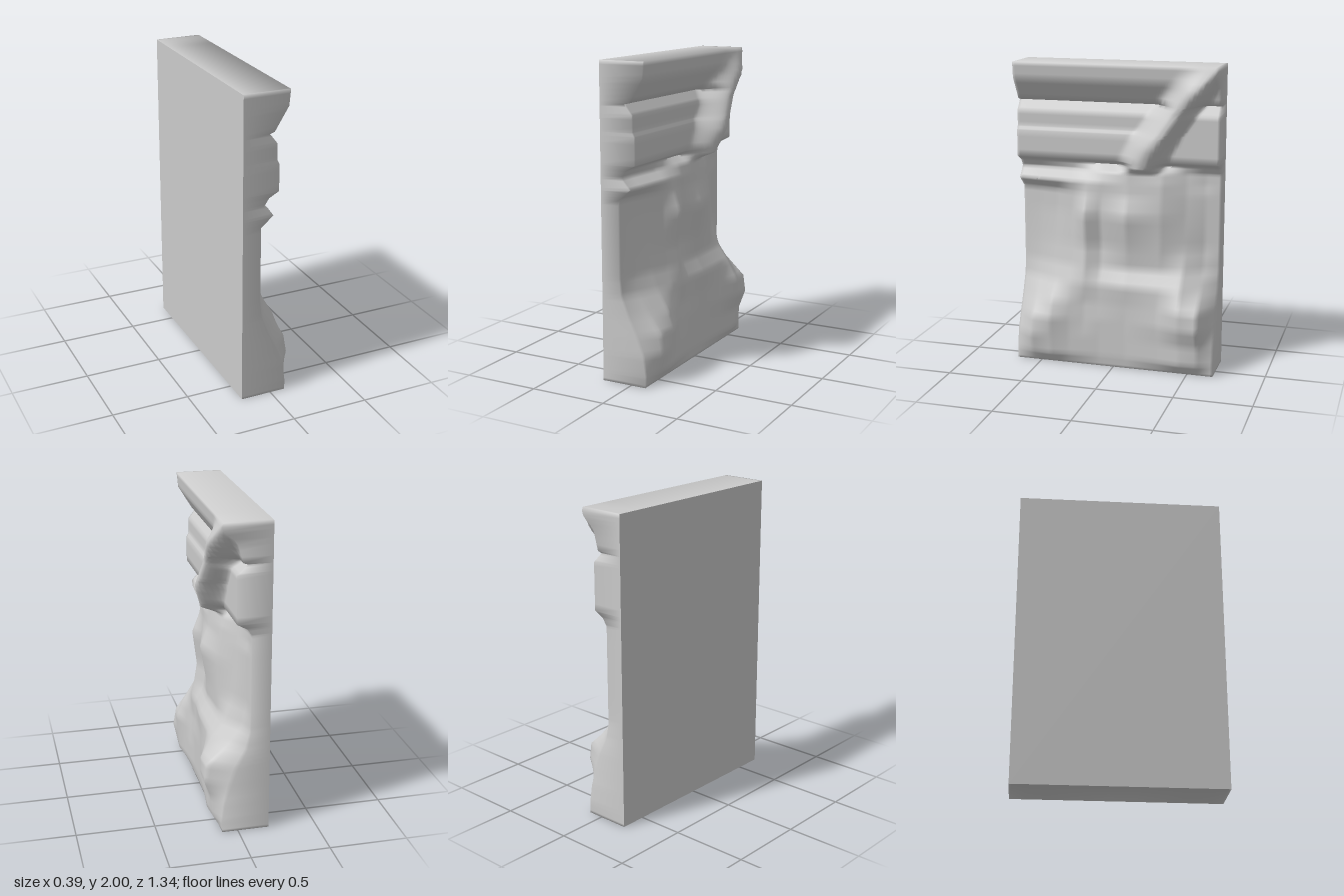
import * as THREE from 'three';
import { toCreasedNormals } from 'three/addons/utils/BufferGeometryUtils.js';

const BACK = -0.2, HALF = 0.67;
const { lerp, smoothstep } = THREE.MathUtils;

// Piecewise-linear lookup; keys run downward
function sample(keys, values, t) {
  if (t >= keys[0]) return values[0];
  for (let i = 1; i < keys.length; i++) {
    if (t >= keys[i]) return lerp(values[i - 1], values[i], (t - keys[i - 1]) / (keys[i] - keys[i - 1]));
  }
  return values[values.length - 1];
}

// Cornice heights, depth of the mouldings, and depth beyond the broken edge
const corniceY = [2, 1.9, 1.755, 1.745, 1.68, 1.58, 1.55, 1.38, 1.345];
const mouldingX = [0.1, 0.09, 0, -0.03, 0.02, 0.02, 0.035, 0.035, -0.03];
const recessX = [0.1, 0.02, -0.02, -0.05, 0.015, 0.015, 0.015, 0.015, -0.05];
const corniceBase = 1.345;

// Diagonal broken ridge that ends the mouldings
const ridgeY = [2, 1.85, 1.7, 1.5, 1.345];
const ridgeZ = [-0.65, -0.54, -0.42, -0.28, -0.2];
const ridgeX = [0.1, 0.165, 0.155, 0.18, 0.13];

// Rough stone below the cornice: depth at each column of z, row by row
const stoneZ = [0.67, 0.55, 0.42, 0.3, 0.2, 0.1, -0.08, -0.3, -0.45, -0.57, -0.67];
const stoneY = [1.3, 1.23, 1.16, 1.03, 0.8, 0.67, 0.56, 0.43, 0.32, 0.2, 0.07, 0];
const stoneX = [
  [-0.06, -0.06, -0.05, -0.04, -0.01, 0.02, 0.04, 0, -0.06, -0.08, -0.08],
  [0, 0.02, 0.03, 0.04, 0.04, 0.05, 0.05, 0.02, -0.05, -0.08, -0.08],
  [-0.08, -0.06, -0.03, 0.02, 0.05, 0.05, 0.06, 0.03, -0.04, -0.07, -0.08],
  [-0.08, -0.06, -0.03, 0.02, 0.1, 0.06, 0.11, 0.05, -0.03, -0.07, -0.08],
  [-0.08, -0.05, -0.01, 0.03, 0.07, 0.03, 0.07, 0.05, -0.01, -0.07, -0.08],
  [-0.08, -0.04, 0.01, 0.05, 0.09, 0.05, 0.06, 0.05, 0.04, -0.04, -0.08],
  [-0.07, -0.01, 0.05, 0.09, 0.11, 0.1, 0.12, 0.12, 0.12, 0.04, -0.06],
  [-0.02, 0.07, 0.13, 0.12, 0.1, 0.1, 0.11, 0.13, 0.19, 0.18, 0],
  [0.03, 0.15, 0.17, 0.13, 0.11, 0.11, 0.11, 0.14, 0.19, 0.195, 0.04],
  [0.08, 0.17, 0.16, 0.13, 0.12, 0.11, 0.11, 0.13, 0.15, 0.15, 0.08],
  [0.1, 0.14, 0.15, 0.13, 0.12, 0.11, 0.11, 0.13, 0.15, 0.14, 0.1],
  stoneZ.map(() => 0.1),
];

function corniceDepth(y, z) {
  const d = z - sample(ridgeY, ridgeZ, y);
  const peak = sample(ridgeY, ridgeX, y);
  return d > 0
    ? lerp(peak, sample(corniceY, mouldingX, y), smoothstep(d, 0.02, 0.22))
    : lerp(peak, sample(corniceY, recessX, y), smoothstep(-d, 0.01, 0.12));
}

function depth(y, z) {
  if (y >= corniceBase) return corniceDepth(y, z);
  const column = stoneX.map((row) => sample(stoneZ, row, z));
  return sample([corniceBase, ...stoneY], [corniceDepth(corniceBase, z), ...column], y);
}

function createSlab() {
  const columns = 80, steps = 4;

  // Heights rise through every moulding line and stone row
  const keys = [...corniceY, ...stoneY].reverse();
  const heights = [];
  for (let i = 0; i < keys.length - 1; i++) {
    for (let s = 0; s < steps; s++) heights.push(lerp(keys[i], keys[i + 1], s / steps));
  }
  heights.push(2);

  // Cross-sections from the front end to the rear end
  const sections = [];
  for (let j = 0; j <= columns; j++) {
    const z = HALF - (2 * HALF * j) / columns;
    sections.push([[BACK, 0, z], ...heights.map((y) => [depth(y, z), y, z]), [BACK, 2, z]]);
  }

  const positions = [];
  const quad = (a, b, c, d) => positions.push(...a, ...b, ...c, ...a, ...c, ...d);

  // Relief, top and underside
  const n = sections[0].length;
  for (let j = 0; j < columns; j++) {
    for (let i = 0; i < n - 1; i++) {
      quad(sections[j][i], sections[j + 1][i], sections[j + 1][i + 1], sections[j][i + 1]);
    }
  }

  // Ends
  for (const [section, front] of [[sections[0], true], [sections[columns], false]]) {
    for (let i = 1; i < n - 2; i++) {
      const p = section[i], q = section[i + 1];
      const corners = [[BACK, p[1], p[2]], p, q, [BACK, q[1], q[2]]];
      quad(...(front ? corners : corners.reverse()));
    }
  }

  const geometry = new THREE.BufferGeometry();
  geometry.setAttribute('position', new THREE.Float32BufferAttribute(positions, 3));
  // Soft shading that also rounds the slab's corners
  return toCreasedNormals(geometry, 1.7);
}

export function createModel() {
  const group = new THREE.Group();
  group.name = 'ruinedWall';
  const material = new THREE.MeshStandardMaterial({ color: 0xcccccc });

  const slab = new THREE.Mesh(createSlab(), material);
  slab.name = 'carvedStoneSlab';

  const back = new THREE.Mesh(new THREE.PlaneGeometry(2 * HALF, 2), material);
  back.name = 'flatBack';
  back.rotation.y = -Math.PI / 2;
  back.position.set(BACK, 1, 0);

  group.add(slab, back);
  return group;
}
